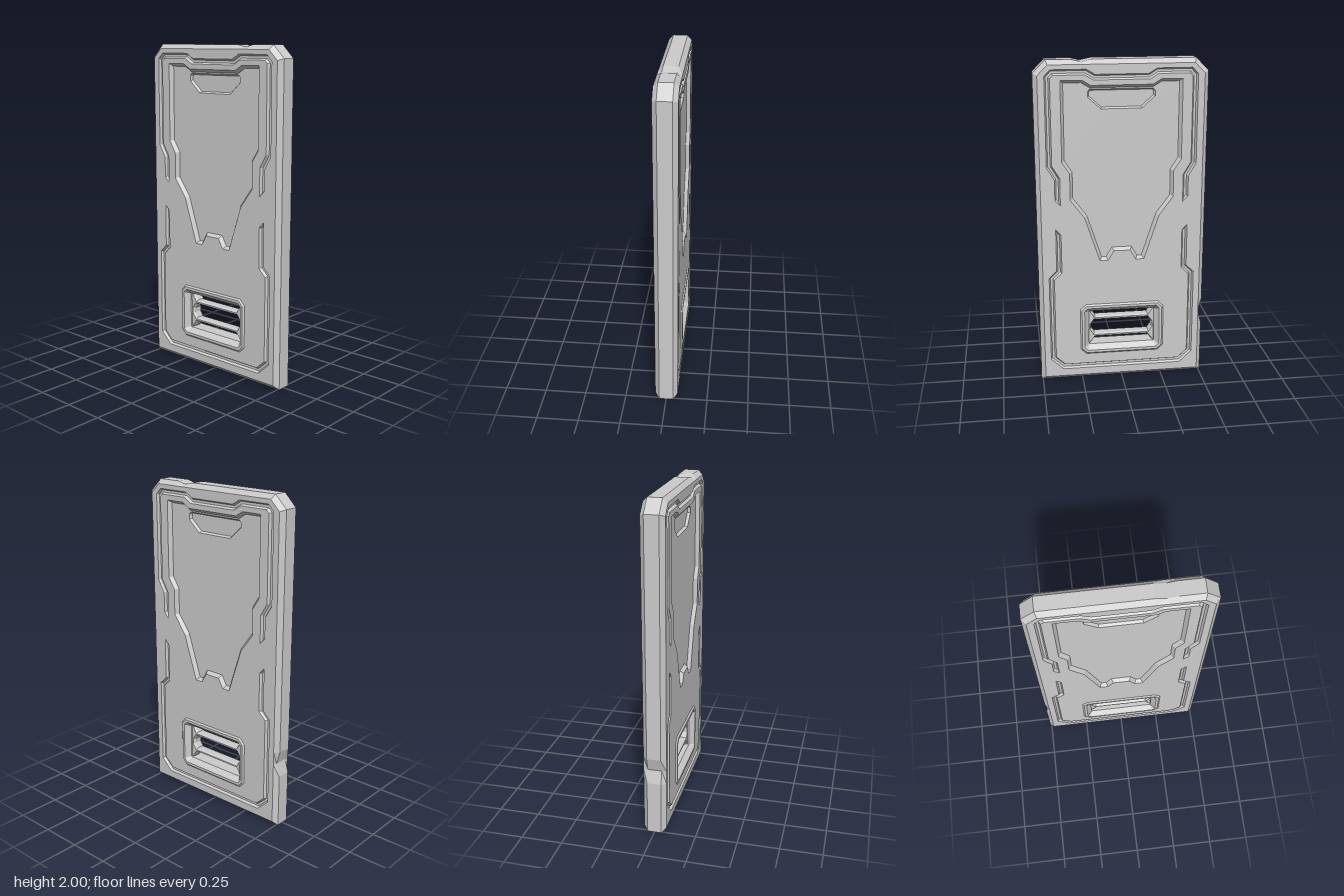
import * as THREE from 'three';

const material = new THREE.MeshStandardMaterial({ color: 0xcccccc, flatShading: true });
const HALF_DEPTH = 0.069;

// Append the mirror image of a half outline (x -> -x)
const sym = (half) => [...half, ...half.map(([x, y]) => [-x, y]).reverse()];

// Offset a polyline to its left with mitred corners
function offset(pts, d, closed = true) {
  const n = pts.length;
  const normal = (a, b) => {
    const dx = b[0] - a[0], dy = b[1] - a[1], l = Math.hypot(dx, dy);
    return [-dy / l, dx / l];
  };
  return pts.map((p, i) => {
    const hasPrev = closed || i > 0, hasNext = closed || i < n - 1;
    let n1 = hasPrev ? normal(pts[(i + n - 1) % n], p) : null;
    const n2 = hasNext ? normal(p, pts[(i + 1) % n]) : n1;
    n1 = n1 || n2;
    const mx = n1[0] + n2[0], my = n1[1] + n2[1];
    const k = (2 * d) / (mx * mx + my * my);
    return [p[0] + mx * k, p[1] + my * k];
  });
}

// Flat-shaded skin through a series of { loop, z } cross-sections
function skin(name, sections) {
  const pos = [];
  for (let s = 0; s < sections.length - 1; s++) {
    const a = sections[s], b = sections[s + 1], n = a.loop.length;
    for (let i = 0; i < n; i++) {
      const j = (i + 1) % n;
      const A = [...a.loop[i], a.z], B = [...a.loop[j], a.z];
      const C = [...b.loop[j], b.z], D = [...b.loop[i], b.z];
      pos.push(...A, ...B, ...C, ...A, ...C, ...D);
    }
  }
  const geo = new THREE.BufferGeometry();
  geo.setAttribute('position', new THREE.Float32BufferAttribute(pos, 3));
  geo.computeVertexNormals();
  return named(name, geo);
}

function named(name, geo) {
  const mesh = new THREE.Mesh(geo, material);
  mesh.name = name;
  return mesh;
}

const vecs = (loop) => loop.map(([x, y]) => new THREE.Vector2(x, y));

function makeShape(loop, holes = []) {
  const shape = new THREE.Shape(vecs(loop));
  shape.holes = holes.map((h) => new THREE.Path(vecs(h)));
  return shape;
}

function flat(name, loop, z, holes) {
  const mesh = named(name, new THREE.ShapeGeometry(makeShape(loop, holes)));
  mesh.position.z = z;
  return mesh;
}

// Sunken area: sloping walls plus a floor, which may have holes itself
function sunken(name, loop, top, floor, slope, holes) {
  const group = new THREE.Group();
  group.name = name;
  const bottom = offset(loop, slope);
  group.add(skin(name + 'Walls', [{ loop, z: top }, { loop: bottom, z: floor }]));
  group.add(flat(name + 'Floor', bottom, floor, holes));
  return group;
}

// Open groove: a band of constant width along a path, with slanted ends
function grooveLoop(path) {
  const inner = offset(path, 0.032, false);
  inner[0][1] -= 0.035;
  inner[inner.length - 1][1] -= 0.035;
  return [...path, ...inner.reverse()];
}

// Slab outline, with spare points on straight edges for the chips
const outline = [
  [-0.51, 0], [0.51, 0], [0.51, 1.925], [0.435, 2], [0.29, 2], [0.235, 2], [0.17, 2],
  [-0.435, 2], [-0.51, 1.925], [-0.51, 0.49], [-0.51, 0.41], [-0.51, 0.33],
];
const faceLoop = offset(outline, 0.026);
const chipped = outline.map((p) => [...p]);
chipped[5][1] = 1.987;
chipped[10][0] = -0.488;

const upperGroove = grooveLoop(sym([
  [0.4, 1.18], [0.4, 1.305], [0.445, 1.38], [0.445, 1.91], [0.41, 1.947], [0.205, 1.947], [0.155, 1.917],
]));
const lowerGroove = grooveLoop(sym([
  [-0.4, 1.0], [-0.4, 0.735], [-0.447, 0.69], [-0.447, 0.145], [-0.37, 0.073],
]));
const recess = sym([
  [0.05, 0.85], [0.085, 0.79], [0.135, 0.79], [0.225, 1.065], [0.31, 1.18], [0.31, 1.34],
  [0.355, 1.41], [0.355, 1.885], [0.23, 1.885], [0.18, 1.855],
]);
const slot = sym([[0.12, 1.715], [0.198, 1.785], [0.198, 1.815], [0.185, 1.83]]);
const windowLoop = sym([[0.225, 0.17], [0.26, 0.205], [0.26, 0.47], [0.225, 0.505]]);

// Everything on one broad side of the slab
function createFace(name) {
  const face = new THREE.Group();
  face.name = name;
  const z = HALF_DEPTH;
  face.add(flat('facePlate', faceLoop, z, [upperGroove, lowerGroove, recess, windowLoop]));
  face.add(sunken('upperGroove', upperGroove, z, 0.053, 0.009));
  face.add(sunken('lowerGroove', lowerGroove, z, 0.053, 0.009));
  face.add(sunken('recessPanel', recess, z, 0.046, 0.017, [slot]));
  face.add(sunken('thumbSlot', slot, 0.046, 0.03, 0.009));
  const inner = offset(windowLoop, 0.055);
  face.add(skin('windowFrame', [
    { loop: windowLoop, z },
    { loop: offset(windowLoop, 0.01), z: 0.078 },
    { loop: offset(windowLoop, 0.026), z: 0.078 },
    { loop: inner, z: 0.045 },
    { loop: inner, z: 0 },
  ]));
  return face;
}

// Grille of two bars that flare at their ends
function createGrille() {
  const holes = [
    sym([[0.165, 0.405], [0.2, 0.455]]),
    sym([[0.17, 0.29], [0.19, 0.32], [0.19, 0.35], [0.17, 0.38]]),
    sym([[0.2, 0.22], [0.165, 0.265]]),
  ];
  const geo = new THREE.ExtrudeGeometry(makeShape(sym([[0.235, 0.195], [0.235, 0.48]]), holes), {
    depth: 0.04, bevelEnabled: true, bevelSegments: 1,
    bevelThickness: 0.015, bevelSize: 0.008, bevelOffset: -0.008,
  });
  geo.translate(0, 0, -0.02);
  return named('windowGrille', geo);
}

export function createModel() {
  const model = new THREE.Group();
  model.name = 'armouredPanel';
  model.add(skin('chamferedEdge', [
    { loop: faceLoop, z: -HALF_DEPTH },
    { loop: chipped, z: -0.042 },
    { loop: chipped, z: 0.042 },
    { loop: faceLoop, z: HALF_DEPTH },
  ]));
  const back = createFace('backFace');
  back.rotation.y = Math.PI;
  model.add(createFace('frontFace'), back, createGrille());
  return model;
}
